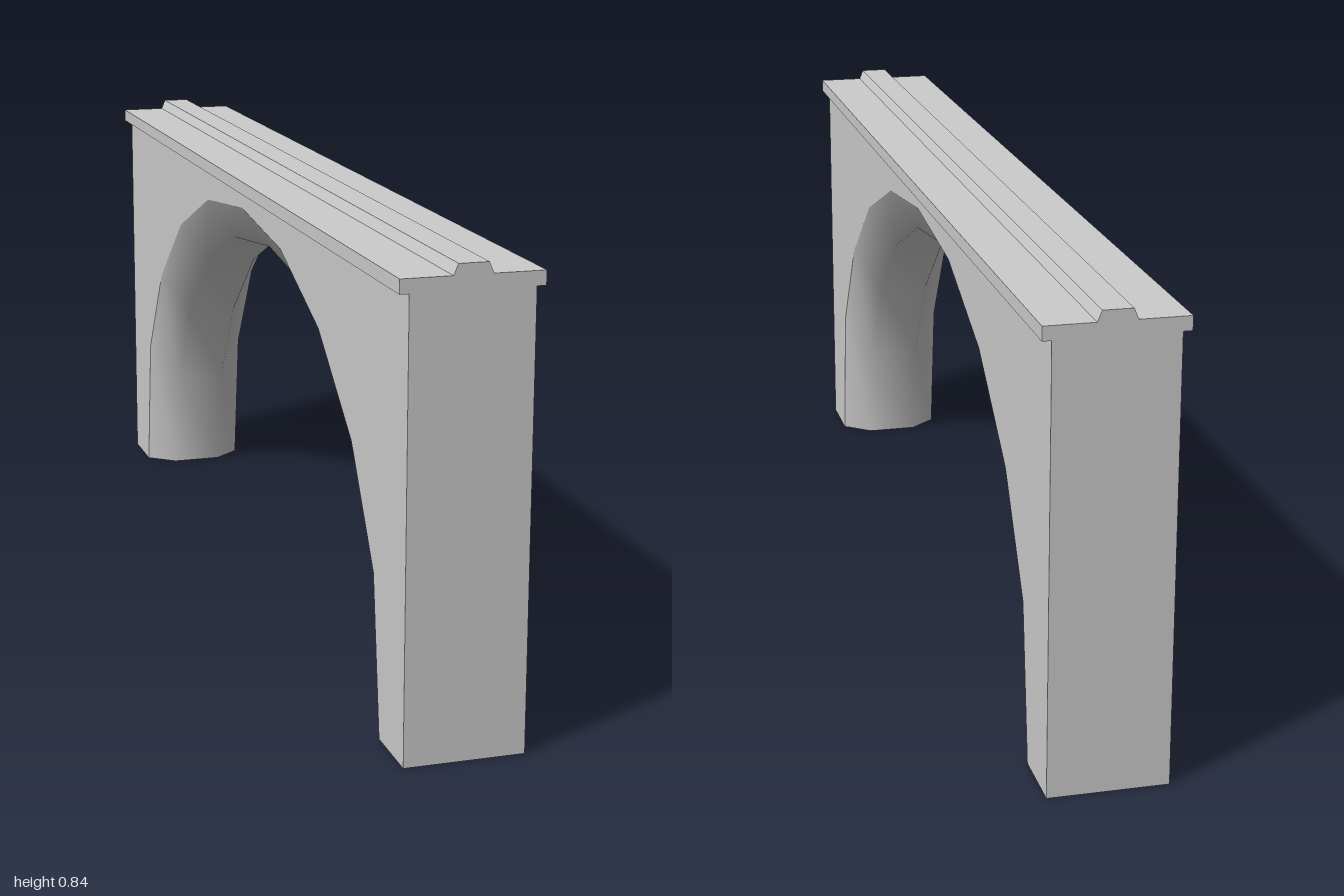
import * as THREE from 'three';

const HALF_LENGTH = 0.995, HALF_WALL = 0.107, WALL_TOP = 0.797;
// Half arch as [z, y], from springing to crown: wall opening edge and lowest line of the soffit
const EDGE = [[0.87, 0], [0.832, 0.285], [0.707, 0.48], [0.513, 0.633], [0.27, 0.73], [0, 0.76]];
const SOFFIT = [[0.826, 0], [0.786, 0.21], [0.67, 0.4], [0.49, 0.552], [0.26, 0.65], [0, 0.68]];

const mirrorArch = (half) => [...half, ...half.slice(0, -1).reverse().map(([z, y]) => [-z, y])];
const toShape = (points) => new THREE.Shape(points.map(([a, b]) => new THREE.Vector2(a, b)));

// Cross-section of the arch rib as [x, depth 0..1]; the springing has a small shoulder
function ribProfile(atBase) {
  const shoulder = atBase ? [0.1, 0.1] : [HALF_WALL, 0];
  const half = [[HALF_WALL, 0], shoulder, [0.052, 1]];
  return [...half, ...half.slice().reverse().map(([x, d]) => [-x, d])];
}

function ribGeometry() {
  const edge = mirrorArch(EDGE), soffit = mirrorArch(SOFFIT);
  const positions = [], index = [], n = 6;
  edge.forEach(([z, y], i) => {
    const [sz, sy] = soffit[i];
    for (const [x, d] of ribProfile(i === 0 || i === edge.length - 1)) {
      positions.push(x, y + (sy - y) * d, z + (sz - z) * d);
    }
    if (i === edge.length - 1) return;
    for (let j = 0; j < n - 1; j++) {
      const a = i * n + j;
      index.push(a, a + 1, a + n, a + 1, a + n + 1, a + n);
    }
  });
  const geometry = new THREE.BufferGeometry();
  geometry.setAttribute('position', new THREE.Float32BufferAttribute(positions, 3));
  geometry.setIndex(index);
  geometry.computeVertexNormals();
  return geometry;
}

export function createModel() {
  const model = new THREE.Group();
  model.name = 'archBridge';
  const material = new THREE.MeshStandardMaterial({ color: 0xcccccc });
  const add = (name, geometry) => {
    const mesh = new THREE.Mesh(geometry, material);
    mesh.name = name;
    model.add(mesh);
  };

  // Wall with the arched opening
  const wallShape = toShape([
    [HALF_LENGTH, 0], [HALF_LENGTH, WALL_TOP], [-HALF_LENGTH, WALL_TOP], [-HALF_LENGTH, 0],
    ...mirrorArch(EDGE).reverse(),
  ]);
  const wall = new THREE.ExtrudeGeometry(wallShape, { depth: 2 * HALF_WALL, bevelEnabled: false });
  wall.translate(0, 0, -HALF_WALL);
  wall.rotateY(-Math.PI / 2);
  add('wall', wall);

  // Rounded rib under the arch, closed at both feet
  add('archRib', ribGeometry());
  for (const side of [1, -1]) {
    const depth = EDGE[0][0] - SOFFIT[0][0];
    const foot = toShape(ribProfile(true).map(([x, d]) => [x, side * (EDGE[0][0] - depth * d)]));
    add(side > 0 ? 'frontFoot' : 'backFoot', new THREE.ShapeGeometry(foot).rotateX(Math.PI / 2));
  }

  // Coping slab with the raised ridge along the middle
  const halfCoping = [[0.123, WALL_TOP], [0.123, 0.822], [0.034, 0.822], [0.026, 0.841]];
  const copingShape = toShape([...halfCoping, ...halfCoping.slice().reverse().map(([x, y]) => [-x, y])]);
  const coping = new THREE.ExtrudeGeometry(copingShape, { depth: 2 * HALF_LENGTH, bevelEnabled: false });
  coping.translate(0, 0, -HALF_LENGTH);
  add('coping', coping);

  // The whole span stands slightly turned
  model.rotation.y = -0.04;
  return model;
}
